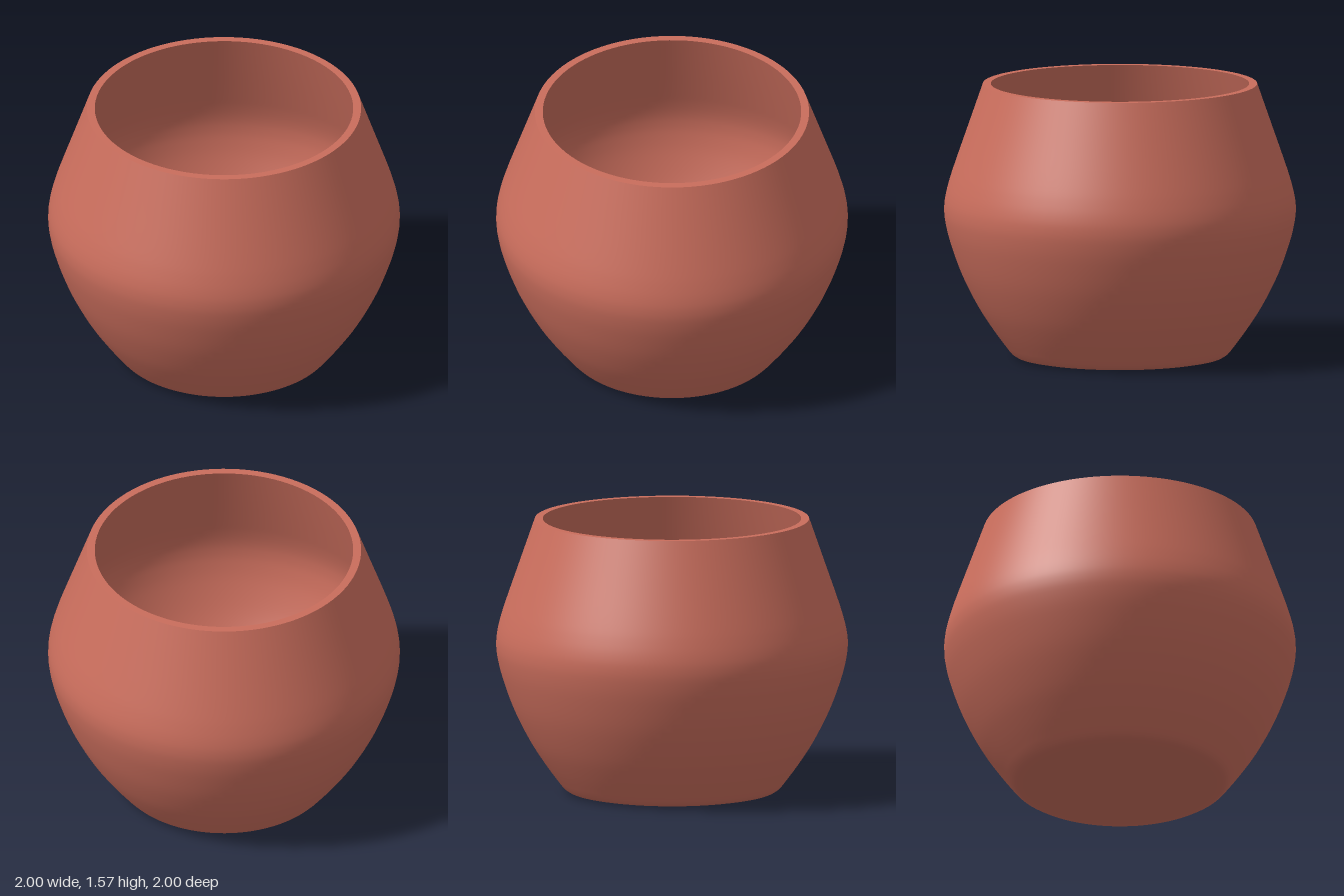
import * as THREE from 'three';

const SEGMENTS = 96;
const v = ([r, y]) => new THREE.Vector2(r, y);

// smooth wall through a few (radius, height) points
const smooth = (pts, n) => new THREE.SplineCurve(pts.map(v)).getPoints(n);

export function createModel() {
  const pot = new THREE.Group();
  pot.name = 'pot';
  const terracotta = new THREE.MeshStandardMaterial({ color: 0xc96d5c });
  terracotta.name = 'terracotta';

  const addLathe = (name, profile) => {
    const mesh = new THREE.Mesh(new THREE.LatheGeometry(profile, SEGMENTS), terracotta);
    mesh.name = name;
    pot.add(mesh);
  };

  // rounded foot, belly and straight shoulder
  const foot = [[0, 0], [0.5, 0], [0.555, 0.002], [0.595, 0.01], [0.618, 0.025]].map(v);
  const belly = smooth([
    [0.635, 0.045], [0.72, 0.16], [0.81, 0.3], [0.9, 0.48],
    [0.965, 0.66], [0.994, 0.78], [1, 0.86], [0.992, 0.93], [0.972, 1.01],
    [0.94, 1.11], [0.86, 1.34], [0.78, 1.57],
  ], 44);
  addLathe('outerWall', [...foot, ...belly]);

  // flat rim
  addLathe('rim', [[0.78, 1.57], [0.735, 1.57]].map(v));

  // hollow inside, following the outer wall down to a flat floor
  const lining = smooth([
    [0.735, 1.57], [0.815, 1.34], [0.895, 1.11], [0.928, 1.01], [0.947, 0.93],
    [0.953, 0.86], [0.947, 0.78], [0.92, 0.66], [0.858, 0.49],
    [0.77, 0.32], [0.685, 0.18], [0.622, 0.09],
  ], 44);
  const floor = [[0.605, 0.068], [0.585, 0.054], [0.555, 0.047], [0.5, 0.045], [0, 0.045]].map(v);
  addLathe('innerWall', [...lining, ...floor]);

  return pot;
}
